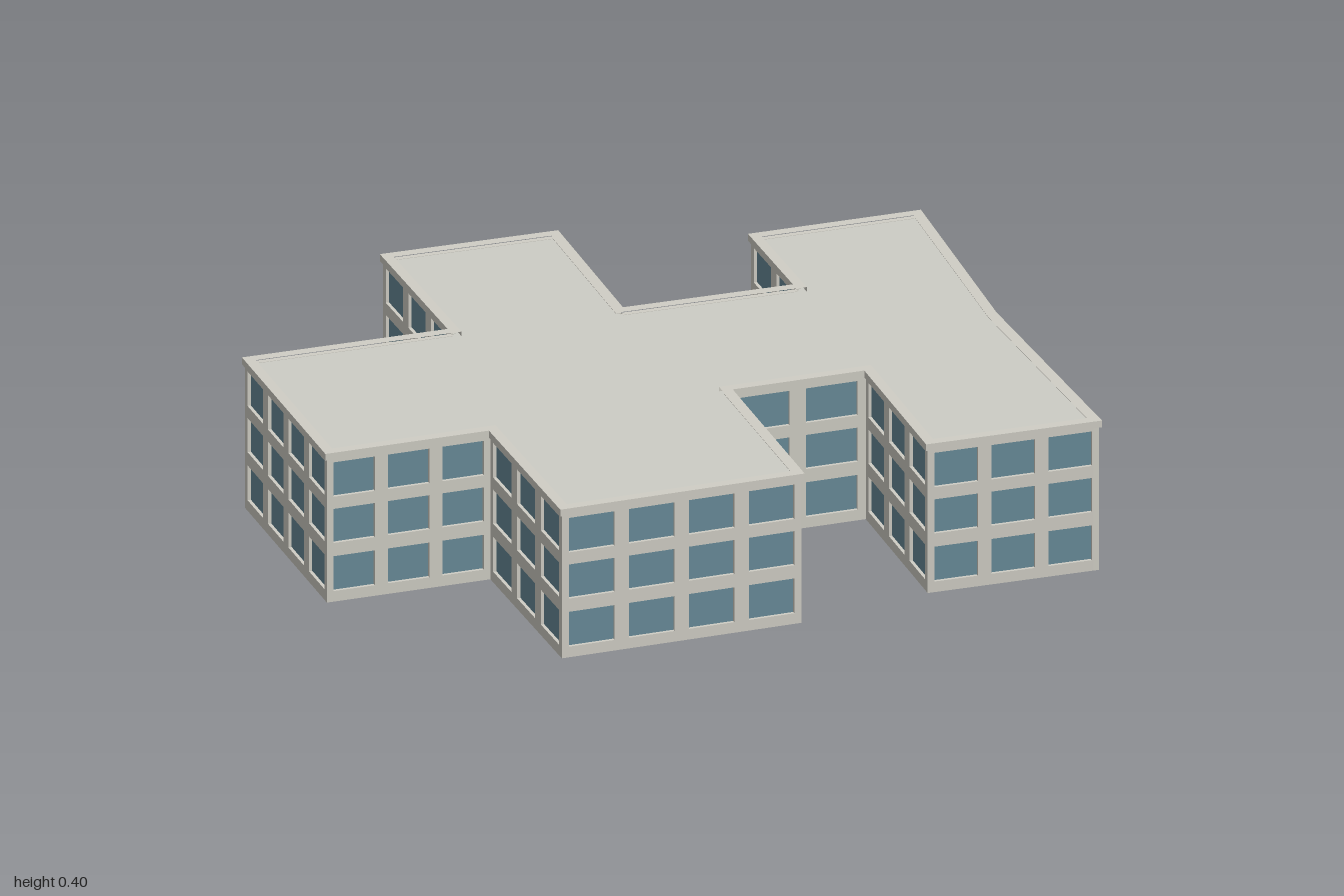
import * as THREE from 'three';
import { mergeGeometries } from 'three/addons/utils/BufferGeometryUtils.js';

// Footprint corners (x, z), clockwise seen from above
const OUTLINE = [
  [0.02, -0.99], [0.47, -0.545], [1, -0.105], [0.695, 0.222], [0.355, -0.09],
  [0.13, 0.16], [0.52, 0.513], [0.105, 0.983], [-0.27, 0.655], [-0.55, 0.965],
  [-1, 0.56], [-0.645, 0.175], [-1, -0.135], [-0.69, -0.465], [-0.335, -0.14],
  [-0.04, -0.455], [-0.278, -0.665],
];
const WALL_TOP = 0.385, WALL_THICK = 0.014, BAY = 0.155;
const FLOORS = [[0.028, 0.12], [0.155, 0.245], [0.277, 0.368]];

// Moves every edge of the footprint inward by d, with mitred corners
function inset(points, d) {
  const n = points.length;
  const normal = (a, b) => {
    const l = Math.hypot(b[0] - a[0], b[1] - a[1]);
    return [-(b[1] - a[1]) / l, (b[0] - a[0]) / l];
  };
  return points.map((p, i) => {
    const m = normal(points[(i + n - 1) % n], p);
    const k = normal(p, points[(i + 1) % n]);
    const s = d / (1 + m[0] * k[0] + m[1] * k[1]);
    return [p[0] + (m[0] + k[0]) * s, p[1] + (m[1] + k[1]) * s];
  });
}

const toVectors = (points) => points.map(([x, z]) => new THREE.Vector2(x, -z));

function rectangle(Type, x0, y0, x1, y1) {
  const r = new Type();
  r.moveTo(x0, y0);
  r.lineTo(x1, y0);
  r.lineTo(x1, y1);
  r.lineTo(x0, y1);
  r.closePath();
  return r;
}

// One facade with window openings, and its recessed panes
function facade(a, b, wallMat, glassMat) {
  const dx = a[0] - b[0], dz = a[1] - b[1];
  const length = Math.hypot(dx, dz);
  const bays = Math.max(1, Math.round(length / BAY));
  const pitch = length / bays;
  const shape = rectangle(THREE.Shape, 0, 0, length, WALL_TOP);
  const panes = [];
  for (let i = 0; i < bays; i++) {
    for (const [y0, y1] of FLOORS) {
      const x0 = (i + 0.12) * pitch, x1 = (i + 0.88) * pitch;
      shape.holes.push(rectangle(THREE.Path, x0, y0, x1, y1));
      panes.push(new THREE.PlaneGeometry(x1 - x0, y1 - y0)
        .translate((x0 + x1) / 2, (y0 + y1) / 2, -WALL_THICK * 0.6));
    }
  }
  const wallGeo = new THREE.ExtrudeGeometry(shape, { depth: WALL_THICK, bevelEnabled: false });
  wallGeo.translate(0, 0, -WALL_THICK);
  const wall = new THREE.Mesh(wallGeo, wallMat);
  wall.name = 'wall';
  const windows = new THREE.Mesh(mergeGeometries(panes), glassMat);
  windows.name = 'windows';
  const group = new THREE.Group();
  group.name = 'facade';
  group.add(wall, windows);
  group.position.set(b[0], 0, b[1]);
  group.rotation.y = Math.atan2(-dz, dx);
  return group;
}

export function createModel() {
  const wallMat = new THREE.MeshStandardMaterial({ name: 'warm grey wall', color: 0xd0cec5 });
  const roofMat = new THREE.MeshStandardMaterial({ name: 'grey roof', color: 0xcdcdc5, side: THREE.DoubleSide });
  const glassMat = new THREE.MeshStandardMaterial({ name: 'blue glass', color: 0x688b99, side: THREE.DoubleSide });

  const model = new THREE.Group();
  model.name = 'building';

  // Outer walls, open at the bottom
  const walls = inset(OUTLINE, 0.006);
  walls.forEach((p, i) => model.add(facade(p, walls[(i + 1) % walls.length], wallMat, glassMat)));

  // Flat roof inside the parapet
  const roofGeo = new THREE.ShapeGeometry(new THREE.Shape(toVectors(inset(OUTLINE, 0.012))));
  roofGeo.rotateX(-Math.PI / 2).translate(0, 0.384, 0);
  const roof = new THREE.Mesh(roofGeo, roofMat);
  roof.name = 'roof';
  model.add(roof);

  // Slightly overhanging parapet rim
  const rim = new THREE.Shape(toVectors(OUTLINE));
  rim.holes.push(new THREE.Path(toVectors(inset(OUTLINE, 0.026))));
  const rimGeo = new THREE.ExtrudeGeometry(rim, { depth: 0.018, bevelEnabled: false });
  rimGeo.rotateX(-Math.PI / 2).translate(0, 0.378, 0);
  const parapet = new THREE.Mesh(rimGeo, wallMat);
  parapet.name = 'parapet';
  model.add(parapet);

  return model;
}
